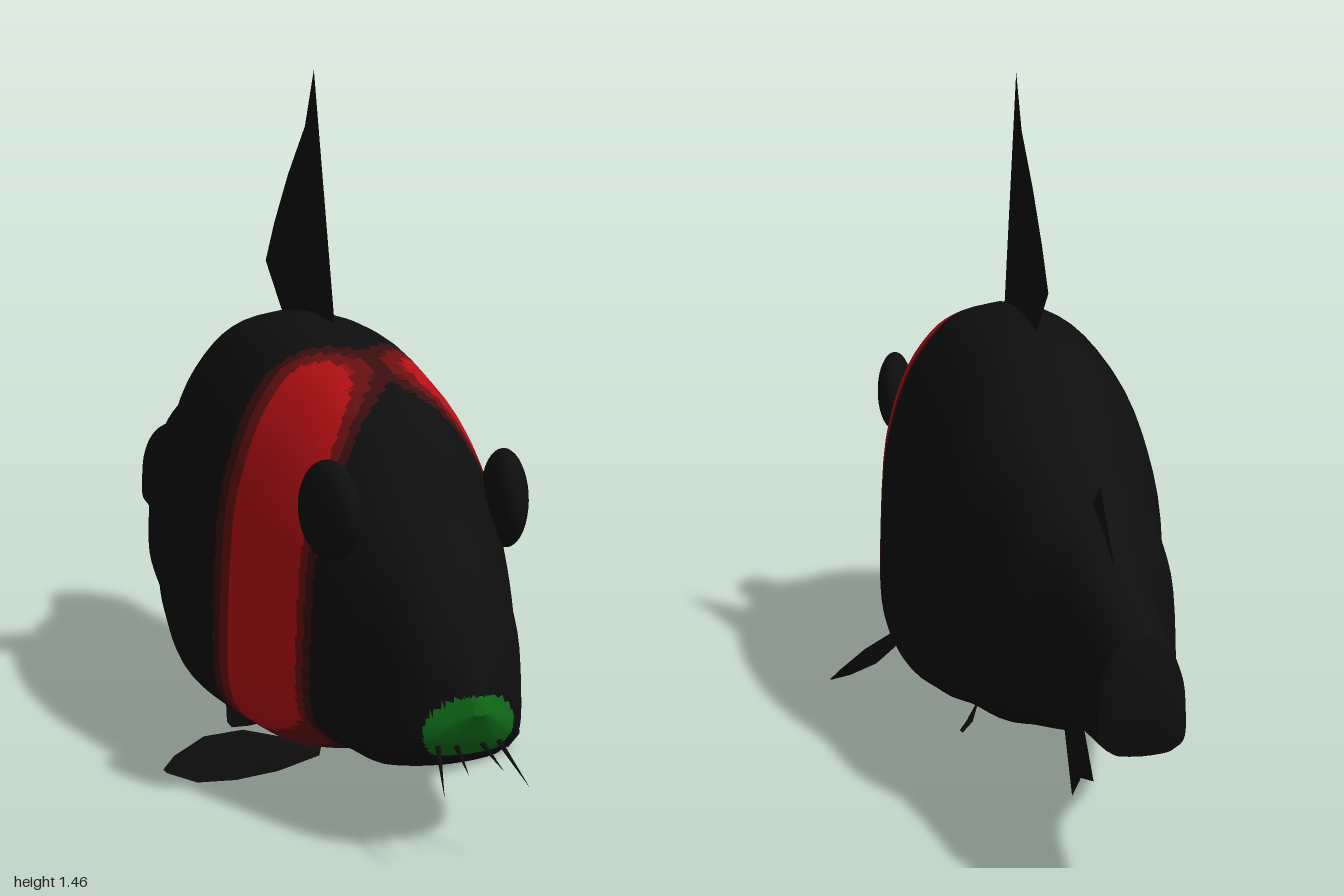
import * as THREE from 'three';

const mat = (name, color, side = THREE.FrontSide) => {
  const m = new THREE.MeshStandardMaterial({ color, side });
  m.name = name;
  return m;
};

// Body stations along the length: z, top, bottom, half width
const STATIONS = [
  [-1, .535, .315, .08], [-.8, .6, .29, .102], [-.7, .65, .25, .125], [-.59, .695, .22, .18],
  [-.41, .77, .16, .21], [-.25, .89, .13, .25], [-.02, .94, .075, .285], [.21, .935, .075, .29],
  [.4, .895, .085, .265], [.5, .865, .105, .245], [.63, .79, .14, .21], [.77, .63, .15, .165],
  [.905, .48, .215, .1], [.965, .335, .3, .012],
];
// Half cross-section from back to belly, in units of half width and height
const SECTION = [
  [0, 1], [.28, .98], [.5, .93], [.72, .83], [.87, .7], [.96, .55], [1, .27],
  [.98, .15], [.9, .09], [.75, .05], [.6, .02], [.3, .005], [0, 0],
];

// Material index at a point: 0 black, 1 dark red, 2 mid red, 3 red, 4 green
function bodyColour(x, y, z) {
  if (z > .895 && (x / .092) ** 2 + ((y - .265) / .072) ** 2 < 1) return 4;
  const u = Math.abs(x);
  const middle = y > .5
    ? 1 + (u - .02 - 5 * (z - .45) ** 2) / .04
    : 1 + (u - .15) / .06;
  const level = Math.min((z - .257) / .035, (.63 - z) / .022, middle);
  return level < 0 ? 0 : Math.min(3, 1 + Math.floor(level));
}

function makeBody(materials) {
  const at = new THREE.CubicInterpolant(
    STATIONS.map(s => s[0]), STATIONS.flatMap(s => s.slice(1)), 3, new Float32Array(3));
  const half = new THREE.SplineCurve(SECTION.map(p => new THREE.Vector2(...p))).getPoints(36);
  const loop = [...half, ...half.slice(1, -1).reverse().map(p => new THREE.Vector2(-p.x, p.y))];
  const n = loop.length;
  const zs = [];
  for (let z = -1; z < .2; z += .02) zs.push(z);
  for (let z = .2; z < .88; z += .0075) zs.push(z);
  for (let z = .88; z < .9645; z += .004) zs.push(z);
  zs.push(.965);

  const pos = [];
  for (const z of zs) {
    const [top, bottom, w] = at.evaluate(z);
    for (const p of loop) pos.push(p.x * w, bottom + p.y * (top - bottom), z);
  }
  const faces = [[], [], [], [], []];
  const paint = (a, b, c) => {
    const mean = k => (pos[a * 3 + k] + pos[b * 3 + k] + pos[c * 3 + k]) / 3;
    faces[bodyColour(mean(0), mean(1), mean(2))].push(a, b, c);
  };
  for (let i = 0; i < zs.length - 1; i++) {
    for (let j = 0; j < n; j++) {
      const a = i * n + j, b = i * n + (j + 1) % n;
      paint(a, a + n, b);
      paint(b, a + n, b + n);
    }
  }
  // Caps at the tail and the snout
  const last = (zs.length - 1) * n, c = pos.length / 3;
  pos.push(0, .425, -1, 0, .317, .966);
  for (let j = 0; j < n; j++) {
    const k = (j + 1) % n;
    paint(c, j, k);
    paint(c + 1, last + k, last + j);
  }
  const geo = new THREE.BufferGeometry();
  geo.setAttribute('position', new THREE.Float32BufferAttribute(pos, 3));
  geo.setIndex(faces.flat());
  let start = 0;
  faces.forEach((f, i) => { geo.addGroup(start, f.length, i); start += f.length; });
  geo.computeVertexNormals();
  return new THREE.Mesh(geo, materials);
}

// Thin upright fin in the middle plane, outline as [z, y]
function middleFin(outline) {
  const shape = new THREE.Shape(outline.map(([z, y]) => new THREE.Vector2(-z, y)));
  return new THREE.ShapeGeometry(shape).rotateY(Math.PI / 2);
}

// Thin blade between two edges of equal length
function bladeFin(upper, lower, side) {
  const pos = [], index = [];
  upper.forEach((p, i) => {
    for (const q of [p, lower[i]]) pos.push(q[0] * side, q[1], q[2]);
    if (i) {
      const a = 2 * i - 2;
      index.push(a, a + 1, a + 2, a + 1, a + 3, a + 2);
    }
  });
  const geo = new THREE.BufferGeometry();
  geo.setAttribute('position', new THREE.Float32BufferAttribute(pos, 3));
  geo.setIndex(index);
  geo.computeVertexNormals();
  return geo;
}

export function createModel() {
  const model = new THREE.Group();
  model.name = 'fish';
  const black = mat('black', 0x0e0e0e);
  const finBlack = mat('fin black', 0x0e0e0e, THREE.DoubleSide);
  const darkRed = mat('dark red', 0x3a0e0f);
  const midRed = mat('mid red', 0x681012);
  const red = mat('red', 0xb81013);
  const green = mat('green', 0x117019);
  const add = (name, mesh) => { mesh.name = name; model.add(mesh); return mesh; };

  add('body', makeBody([black, darkRed, midRed, red, green]));

  // Fins on the middle line
  const fins = {
    dorsalFin: [[.215, .92], [.085, 1.46], [.03, 1.34], [-.08, 1.23], [-.17, 1.12], [-.23, 1.03], [-.1, .91]],
    rearBackFin: [[-.6, .67], [-.675, .735], [-.785, .61]],
    analFin: [[-.37, .17], [-.46, .015], [-.535, .085], [-.64, .12], [-.54, .22]],
  };
  for (const name in fins) add(name, new THREE.Mesh(middleFin(fins[name]), finBlack));

  for (const s of [1, -1]) {
    const label = s > 0 ? 'left' : 'right';
    // Eyes
    const eye = add(label + 'Eye', new THREE.Mesh(new THREE.SphereGeometry(1, 28, 20), black));
    eye.scale.set(.043, .097, .092);
    eye.position.set(.182 * s, .637, .667);
    eye.rotation.y = -.2 * s;

    // Paired fins below
    add(label + 'PectoralFin', new THREE.Mesh(bladeFin(
      [[.12, .11, .46], [.25, .12, .345], [.32, .1, .3], [.38, .06, .285], [.405, .035, .29]],
      [[.14, .1, .5], [.21, .06, .45], [.28, .03, .39], [.35, .02, .35], [.4, .03, .3]], s), finBlack));
    add(label + 'PelvicFin', new THREE.Mesh(bladeFin(
      [[.06, .09, .05], [.13, .07, -.065], [.15, .045, -.075], [.158, .015, -.045]],
      [[.06, .085, .13], [.09, .045, .07], [.12, .015, 0], [.15, .004, -.035]], s), finBlack));

    // Barbels at the mouth
    for (const [x, tip] of [[.025, [.035, .2, .995]], [.06, [.085, .165, 1]]]) {
      const from = new THREE.Vector3(x * s, .235, .91);
      const to = new THREE.Vector3(tip[0] * s, tip[1], tip[2]);
      const dir = to.clone().sub(from);
      const barbel = add(label + 'Barbel', new THREE.Mesh(
        new THREE.ConeGeometry(.006, dir.length(), 6), black));
      barbel.position.copy(from).add(to).multiplyScalar(.5);
      barbel.quaternion.setFromUnitVectors(new THREE.Vector3(0, 1, 0), dir.normalize());
    }
  }
  return model;
}
